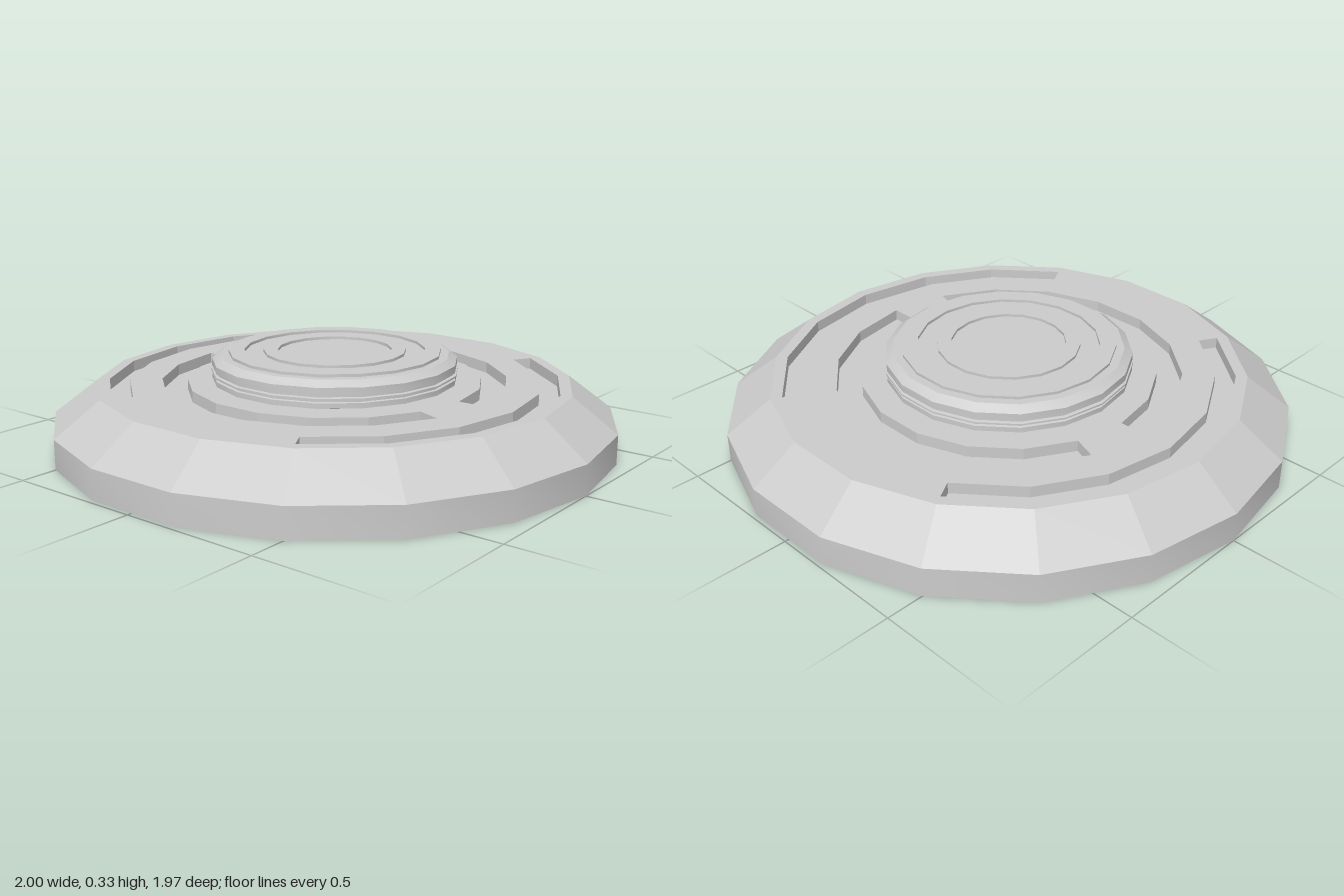
import * as THREE from 'three';
import { toCreasedNormals } from 'three/addons/utils/BufferGeometryUtils.js';

const SIDES = 18, STEP = Math.PI * 2 / SIDES;
const TOP = 0.225, FLOOR = 0.185, FACE_R = 0.843;

const smooth = new THREE.MeshStandardMaterial({ color: 0xcccccc });
const faceted = new THREE.MeshStandardMaterial({ color: 0xcccccc, flatShading: true });

const polar = (r, a) => new THREE.Vector2(r * Math.cos(a), r * Math.sin(a));
const ring = r => Array.from({ length: SIDES }, (_, i) => polar(r, i * STEP));

// Turned part from [radius, height] pairs, listed bottom to top
function turned(name, profile, material) {
  const pts = profile.map(([r, y]) => new THREE.Vector2(r, y));
  const lathe = new THREE.LatheGeometry(pts, SIDES, Math.PI / 2);
  const mesh = new THREE.Mesh(toCreasedNormals(lathe, 0.45), material);
  mesh.name = name;
  return mesh;
}

// Flat face lying at height y
function flat(name, shape, y) {
  const geo = new THREE.ShapeGeometry(shape).rotateX(-Math.PI / 2).translate(0, y, 0);
  const mesh = new THREE.Mesh(geo, faceted);
  mesh.name = name;
  return mesh;
}

// Counter-clockwise outline of an arc slot, running over whole facets
function slotOutline(inner, outer, first, last) {
  const out = [], back = [];
  for (let i = first; i <= last; i++) {
    out.push(polar(outer, i * STEP));
    back.unshift(polar(inner, i * STEP));
  }
  return [...out, ...back];
}

// Inward-facing walls of a slot
function slotWalls(outline) {
  const pos = [];
  outline.forEach((a, i) => {
    const b = outline[(i + 1) % outline.length];
    const a0 = [a.x, FLOOR, -a.y], a1 = [a.x, TOP, -a.y];
    const b0 = [b.x, FLOOR, -b.y], b1 = [b.x, TOP, -b.y];
    pos.push(...a0, ...b1, ...b0, ...a0, ...a1, ...b1);
  });
  const geo = new THREE.BufferGeometry();
  geo.setAttribute('position', new THREE.Float32BufferAttribute(pos, 3));
  geo.computeVertexNormals();
  const mesh = new THREE.Mesh(geo, faceted);
  mesh.name = 'slotWalls';
  return mesh;
}

export function createModel() {
  const model = new THREE.Group();
  model.name = 'slottedDisc';

  // Shallow dished underside and upright rim, then the faceted bevel
  model.add(turned('base', [[0, 0.028], [FACE_R, 0.028], [1, 0], [1, 0.105]], smooth));
  model.add(turned('bevel', [[1, 0.105], [FACE_R, TOP]], faceted));

  // Top face pierced by two outer and two inner arc slots
  const face = new THREE.Shape(ring(FACE_R));
  face.holes.push(new THREE.Path(ring(0.42)));
  const slots = [
    slotOutline(0.73, 0.802, -3, 3),
    slotOutline(0.73, 0.802, 6, 12),
    slotOutline(0.525, 0.615, 0, 8),
    slotOutline(0.525, 0.615, 9, 17),
  ];
  for (const outline of slots) {
    face.holes.push(new THREE.Path(outline));
    const slot = new THREE.Group();
    slot.name = 'slot';
    slot.add(slotWalls(outline), flat('slotFloor', new THREE.Shape(outline), FLOOR));
    model.add(slot);
  }
  model.add(flat('topFace', face, TOP));

  // Central hub: grooved side, sloping shoulder and concentric steps on top
  model.add(turned('hub', [
    [0.42, TOP], [0.437, 0.23], [0.437, 0.248], [0.428, 0.25],
    [0.428, 0.256], [0.44, 0.258], [0.44, 0.264], [0.428, 0.266],
    [0.428, 0.272], [0.437, 0.274], [0.437, 0.3], [0.408, 0.32],
    [0.378, 0.32], [0.378, 0.33], [0.322, 0.33], [0.322, 0.32],
    [0.253, 0.32], [0.253, 0.33], [0.203, 0.33], [0.203, 0.32], [0, 0.32],
  ], smooth));
  return model;
}
